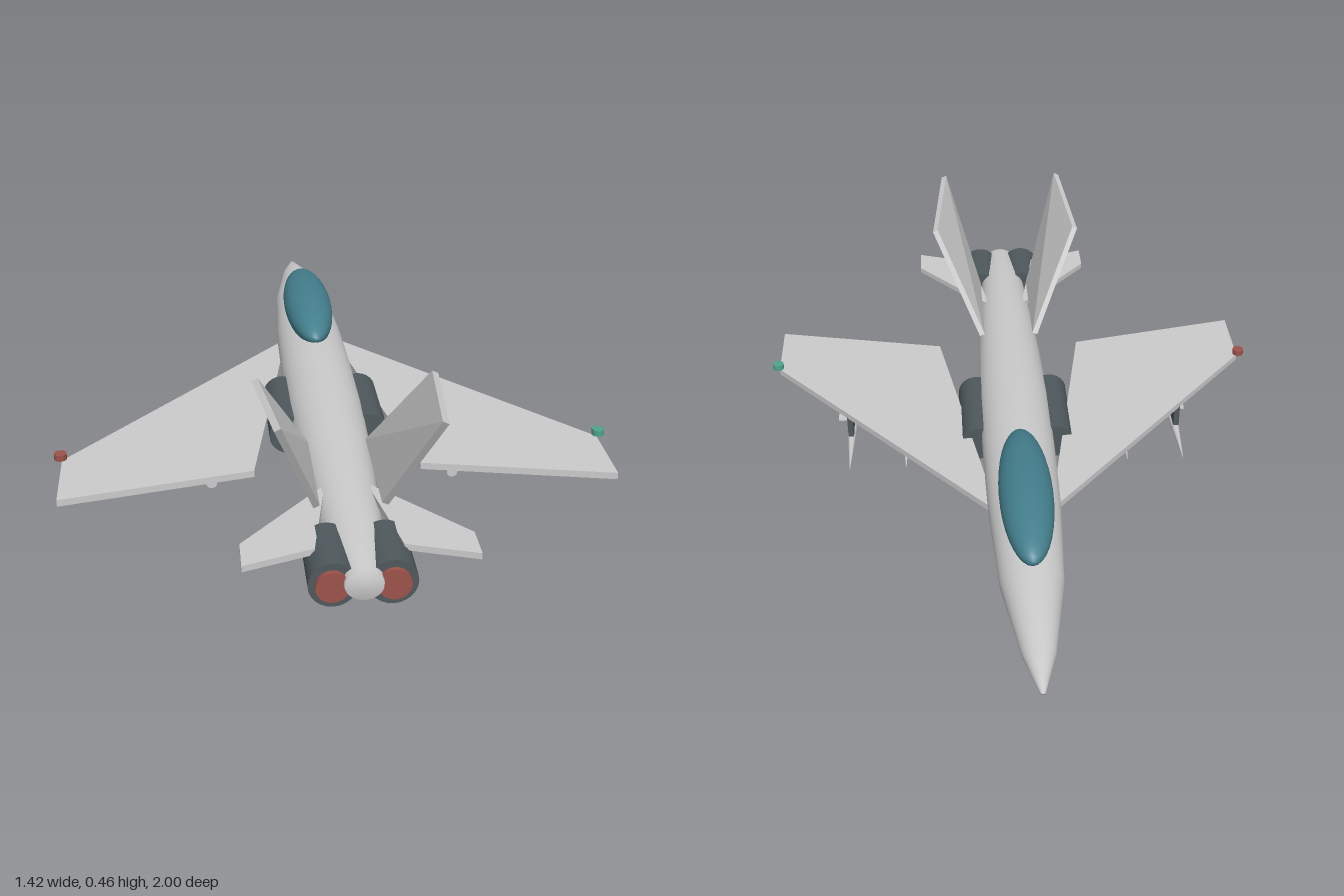
import * as THREE from 'three';
import { ConvexGeometry } from 'three/addons/geometries/ConvexGeometry.js';

const mat = (color) => new THREE.MeshStandardMaterial({ color });

export function createModel() {
  const model = new THREE.Group();
  const grey = mat(0xcccccc);
  const dark = mat(0x4f595d);
  const glass = mat(0x447f8e);
  const red = mat(0x9c524a);
  const green = mat(0x4fa58c);

  const add = (name, geometry, material, x = 0, y = 0, z = 0) => {
    const mesh = new THREE.Mesh(geometry, material);
    mesh.name = name;
    mesh.position.set(x, y, z);
    model.add(mesh);
    return mesh;
  };

  // Cylinder lying along z (first radius is at the rear, +z)
  const tube = (rRear, rFront, length, sides = 24) =>
    new THREE.CylinderGeometry(rRear, rFront, length, sides).rotateX(Math.PI / 2);

  // Flat plate from [x, z] outline points, top surface at y = 0
  const plate = (outline, side, thickness) => {
    const shape = new THREE.Shape(outline.map(([x, z]) => new THREE.Vector2(x * side, z)));
    return new THREE.ExtrudeGeometry(shape, { depth: thickness, bevelEnabled: false }).rotateX(Math.PI / 2);
  };

  // Fuselage: [radius, z] profile, nose towards -z, slightly flattened
  const profile = [
    [0, -1], [0.006, -0.998], [0.04, -0.88], [0.08, -0.64], [0.096, -0.35], [0.1, -0.1], [0.1, 0.15],
    [0.092, 0.4], [0.078, 0.65], [0.066, 0.83], [0.045, 0.985], [0.043, 0.995], [0, 0.996],
  ].map(([r, z]) => new THREE.Vector2(r, z));
  const hull = new THREE.LatheGeometry(profile, 40).rotateX(Math.PI / 2);
  add('fuselage', hull, grey, 0, 0.115).scale.y = 0.82;

  // Canopy
  add('canopy', new THREE.SphereGeometry(1, 36, 24), glass, 0, 0.205, -0.395).scale.set(0.07, 0.057, 0.27);

  const wing = [[0.07, -0.352], [0.692, 0.355], [0.692, 0.555], [0.21, 0.455]];
  const stabiliser = [[0.05, 0.62], [0.265, 0.865], [0.265, 0.955], [0.1, 0.9]];
  const fin = [[0.08, 0.168, 0.425], [0.212, 0.434, 0.6], [0.18, 0.462, 0.915], [0.08, 0.165, 0.735]];

  for (const side of [1, -1]) {
    const label = side > 0 ? 'left' : 'right';

    // Wing, tip light and tailplane
    add(label + 'Wing', plate(wing, side, 0.018), grey, 0, 0.113);
    add(label + 'WingTipLight', new THREE.CylinderGeometry(0.016, 0.016, 0.016, 16),
      side > 0 ? green : red, side * 0.695, 0.126, 0.355);
    add(label + 'Stabiliser', plate(stabiliser, side, 0.016), grey, 0, 0.157);

    // Canted tail fin: a four-cornered slab thickened along its normal
    const corners = fin.map(([x, y, z]) => new THREE.Vector3(x * side, y, z));
    const normal = new THREE.Vector3().crossVectors(
      corners[2].clone().sub(corners[0]), corners[3].clone().sub(corners[1])).normalize();
    const slab = [-0.008, 0.008].flatMap((d) => corners.map((c) => c.clone().addScaledVector(normal, d)));
    add(label + 'TailFin', new ConvexGeometry(slab), grey);

    // Air intake, engine nozzle and exhaust
    add(label + 'Intake', tube(0.052, 0.052, 0.26), dark, side * 0.106, 0.092, 0.105);
    add(label + 'Nozzle', tube(0.056, 0.056, 0.17), dark, side * 0.067, 0.107, 0.887);
    add(label + 'Exhaust', tube(0.038, 0.038, 0.014), red, side * 0.069, 0.107, 0.977);

    // Pylons with missiles
    for (const x of [0.316, 0.475]) {
      add(label + 'Pylon', new THREE.BoxGeometry(0.016, 0.07, 0.197), dark, side * x, 0.065, 0.214);
      add(label + 'MissileBody', tube(0.014, 0.014, 0.17, 16), grey, side * x, 0.017, 0.255);
      add(label + 'MissileNose', tube(0.014, 0.001, 0.19, 16), grey, side * x, 0.017, 0.075);
      add(label + 'MissileFins', new THREE.BoxGeometry(0.084, 0.005, 0.05), grey, side * x, 0.011, 0.25);
    }
  }
  model.position.y = -0.003;
  return model;
}
